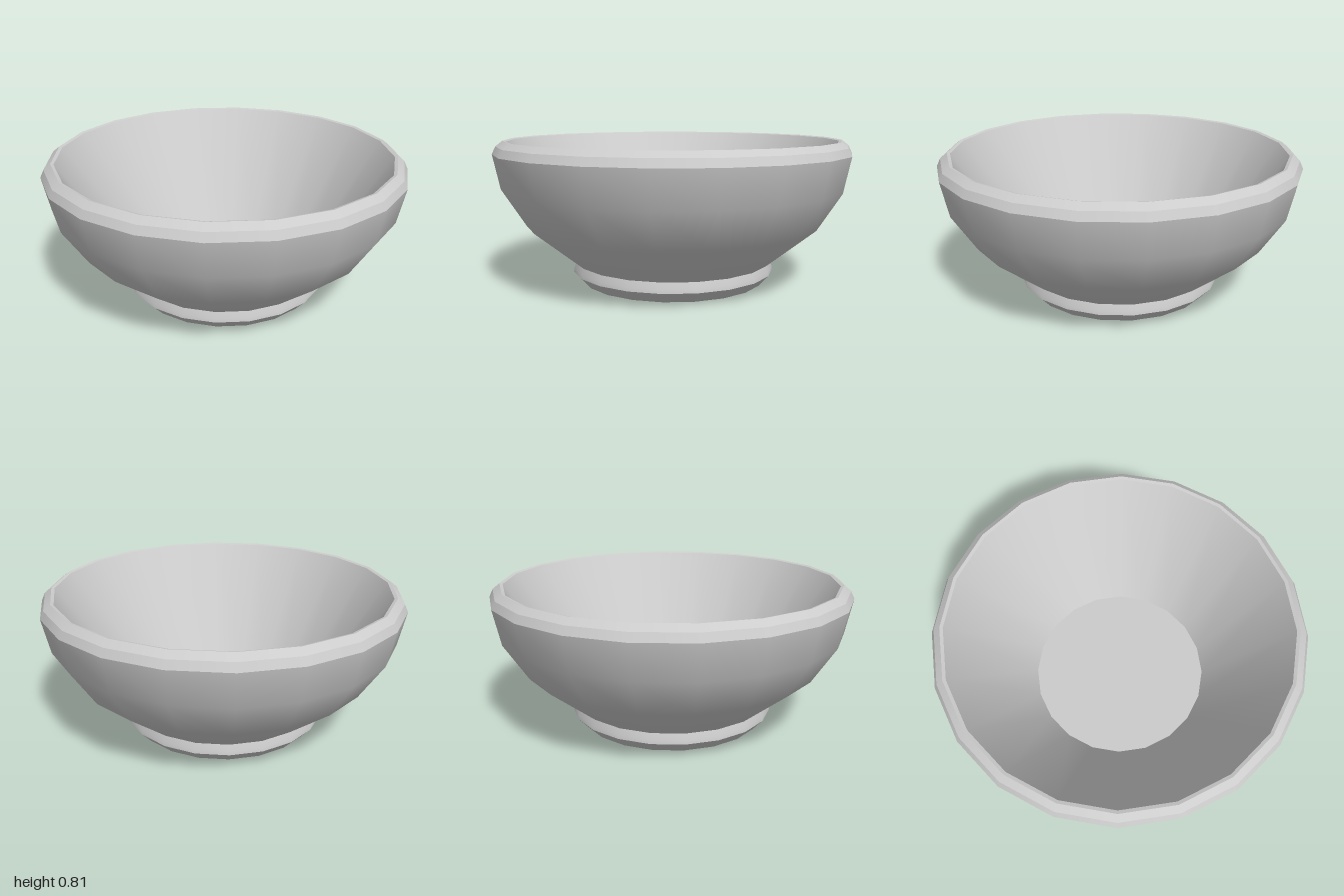
import * as THREE from 'three';

const SIDES = 20;

// Each profile is a smooth band of [radius, height]; separate bands meet in a sharp edge.
const PROFILES = {
  underside: [[0, 0.045], [0.48, 0.045]],
  footRecess: [[0.48, 0.045], [0.5, 0]],
  footBase: [[0.5, 0], [0.52, 0.005], [0.575, 0.065]],
  footTop: [[0.575, 0.065], [0.572, 0.085], [0.56, 0.12]],
  outerWall: [[0.56, 0.12], [0.83, 0.34], [0.96, 0.545], [1, 0.738]],
  rimLower: [[1, 0.738], [0.98, 0.78]],
  rimUpper: [[0.98, 0.78], [0.942, 0.81]],
  rimTop: [[0.942, 0.81], [0.925, 0.805]],
  innerWall: [[0.925, 0.805], [0.505, 0.135]],
  floor: [[0.505, 0.135], [0, 0.135]],
};

export function createModel() {
  const bowl = new THREE.Group();
  bowl.name = 'bowl';
  const material = new THREE.MeshStandardMaterial({ color: 0xcccccc });
  for (const [name, profile] of Object.entries(PROFILES)) {
    const points = profile.map(([r, y]) => new THREE.Vector2(r, y));
    const band = new THREE.Mesh(new THREE.LatheGeometry(points, SIDES), material);
    band.name = name;
    bowl.add(band);
  }
  return bowl;
}
